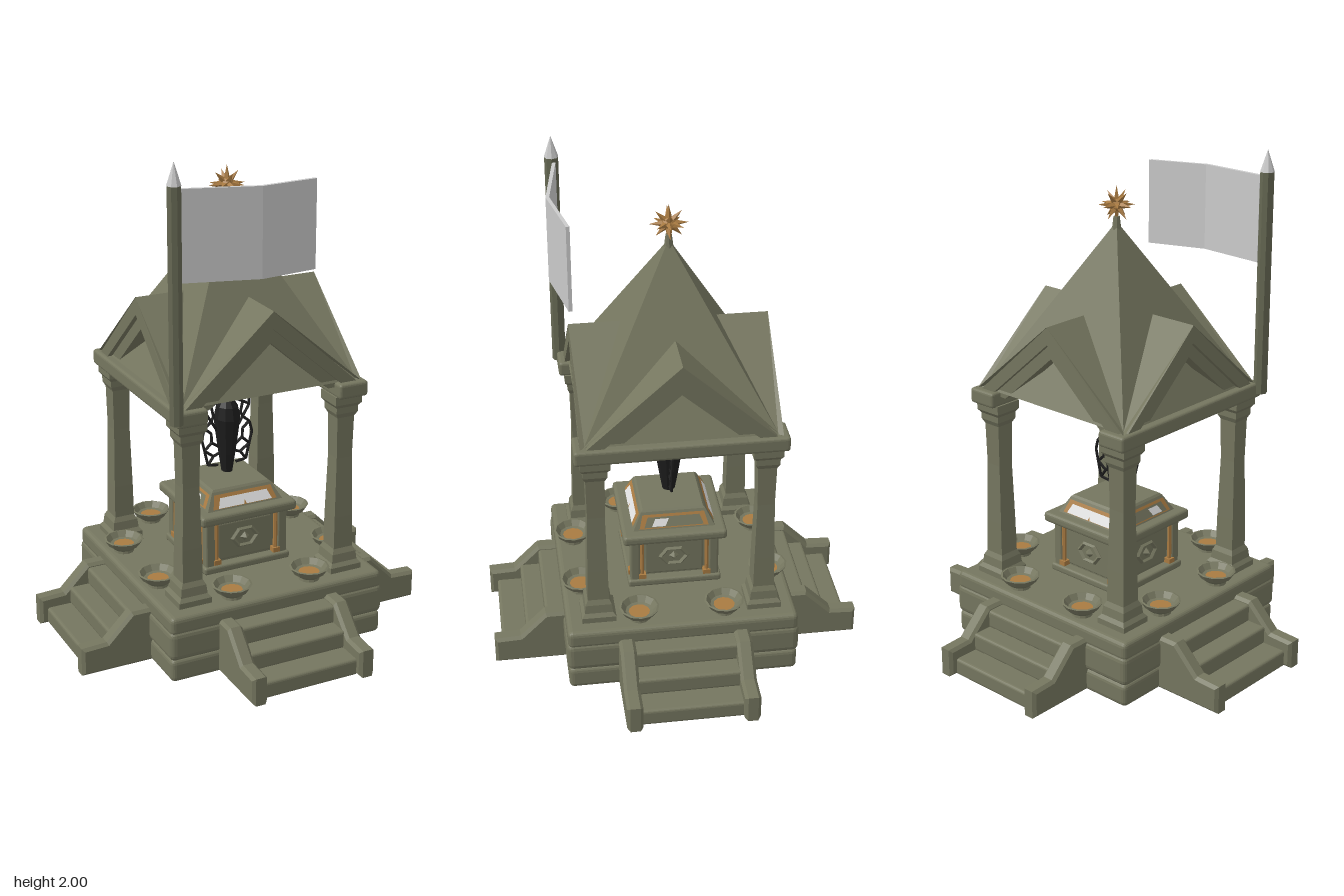
import * as THREE from 'three';
import { RoundedBoxGeometry } from 'three/addons/geometries/RoundedBoxGeometry.js';

const mat = (name, color) => new THREE.MeshStandardMaterial({ name, color, flatShading: true, side: THREE.DoubleSide });

export function createModel() {
  const stone = mat('stone', 0x75765f);
  const poleMat = mat('pole green', 0x666853);
  const gold = mat('gold', 0xa97b42);
  const white = mat('white', 0xe0e0e0);
  const cloth = mat('cloth', 0xcacaca);
  const black = mat('black', 0x1d1d1d);

  const root = new THREE.Group();
  root.name = 'shrine';

  const add = (parent, name, geo, material, x = 0, y = 0, z = 0) => {
    const m = new THREE.Mesh(geo, material);
    m.name = name;
    m.position.set(x, y, z);
    parent.add(m);
    return m;
  };
  const v2 = (pts) => pts.map(([x, y]) => new THREE.Vector2(x, y));
  // block with softened edges, spanning y0 to y1
  const slab = (parent, name, w, y0, y1, d, x = 0, z = 0, r = 0.015, material = stone) =>
    add(parent, name, new RoundedBoxGeometry(w, y1 - y0, d, 2, r), material, x, (y0 + y1) / 2, z);
  // square-plan profile, points are [half width, y]
  const squareLathe = (pts) =>
    new THREE.LatheGeometry(v2(pts.map(([r, y]) => [r * Math.SQRT2, y])), 4).rotateY(Math.PI / 4);
  // fan of flat faces over a list of corners
  const faces = (pts) => {
    const out = [];
    for (let i = 1; i < pts.length - 1; i++) out.push(...pts[0], ...pts[i], ...pts[i + 1]);
    const g = new THREE.BufferGeometry();
    g.setAttribute('position', new THREE.Float32BufferAttribute(out, 3));
    g.computeVertexNormals();
    return g;
  };
  const extrude = (pts, depth, bevel = 0) =>
    new THREE.ExtrudeGeometry(new THREE.Shape(v2(pts)), {
      depth, bevelEnabled: bevel > 0, bevelSize: bevel, bevelThickness: bevel, bevelOffset: -bevel, bevelSegments: 1,
    });

  // stacked platform
  slab(root, 'platformLower', 0.92, 0, 0.095, 0.92, 0, 0, 0.02);
  slab(root, 'platformMiddle', 0.93, 0.09, 0.215, 0.93, 0, 0, 0.025);
  slab(root, 'platformTop', 0.92, 0.195, 0.272, 0.92, 0, 0, 0.02);

  // pillars with flared base and capital
  const pillar = squareLathe([[0, 0.265], [0.068, 0.265], [0.068, 0.295], [0.056, 0.31], [0.052, 0.345], [0.042, 0.365],
    [0.04, 0.5], [0.034, 0.75], [0.037, 0.92], [0.047, 0.94], [0.047, 0.965], [0.058, 0.98], [0.058, 1.015], [0, 1.015]]);
  for (const x of [-0.33, 0.33]) {
    for (const z of [-0.33, 0.33]) add(root, 'pillar', pillar, stone, x, 0, z);
    slab(root, 'roofBeam', 0.125, 1.01, 1.072, 0.82, x * 1.03, 0, 0.012);
  }

  // chevron frame between two apex heights
  const chevron = (top, inner, depth) => {
    const foot = 1.05, s = 0.88;
    const a = Math.min((top - foot) / s, 0.385), b = (inner - foot) / s;
    return extrude([[0, top], [-a, foot], [-b, foot], [0, inner], [b, foot], [a, foot]], depth);
  };
  const bowl = new THREE.LatheGeometry(v2([[0, 0.27], [0.042, 0.27], [0.04, 0.282], [0.064, 0.3], [0.08, 0.325],
    [0.072, 0.327], [0.055, 0.305], [0, 0.292]]), 12);
  const wallProfile = [[0.43, 0], [0.745, 0], [0.745, 0.115], [0.64, 0.12], [0.535, 0.225], [0.43, 0.225]];
  // point on the sloped altar lid, t runs up the slope
  const slope = (x, t, lift) => [x, 0.53 + 0.065 * t + lift * 0.47, 0.165 - 0.035 * t + lift * 0.88];
  const lidPanel = (x0, x1, t0, t1, lift) =>
    faces([slope(x0, t0, lift), slope(x1, t0, lift), slope(x1 - 0.015 * Math.sign(x1), t1, lift), slope(x0 - 0.015 * Math.sign(x0), t1, lift)]);

  // everything repeated on the four sides, each facing local +z
  for (let i = 0; i < 4; i++) {
    const side = new THREE.Group();
    side.name = ['frontSide', 'leftSide', 'backSide', 'rightSide'][i];
    side.rotation.y = (i * Math.PI) / 2;
    root.add(side);

    // stairs and their cheek walls
    [[0.535, 0.21], [0.615, 0.14], [0.715, 0.07]].forEach(([z, y]) =>
      slab(side, 'step', 0.42, Math.max(0, y - 0.075), y, z - 0.42, 0, (z + 0.42) / 2, 0.012));
    for (const x of [0.25, -0.21]) {
      const wall = add(side, 'stairWall', extrude(wallProfile, 0.04, 0.012), stone, x, 0, 0);
      wall.rotation.y = -Math.PI / 2;
    }

    // gable roof, chevron frames and spire face
    for (const s of [-1, 1]) {
      add(side, 'gableRoof', faces([[0, 1.4, 0.385], [s * 0.385, 1.068, 0.385], [s * 0.375, 1.068, 0.365], [0, 1.4, 0.175]]), stone);
    }
    add(side, 'gableFrame', chevron(1.398, 1.33, 0.055), stone, 0, 0, 0.33);
    add(side, 'gableInnerFrame', chevron(1.335, 1.27, 0.06), stone, 0, 0, 0.305);
    add(side, 'gableTrim', chevron(1.315, 1.29, 0.005), gold, 0, 0, 0.299);
    add(side, 'spire', faces([[0, 1.73, 0], [-0.37, 1.07, 0.37], [0.37, 1.07, 0.37]]), stone);

    // offering bowls
    for (const x of [-0.17, 0.17]) {
      add(side, 'bowl', bowl, stone, x, 0, 0.385);
      add(side, 'bowlFilling', new THREE.CylinderGeometry(0.045, 0.04, 0.006, 10), gold, x, 0.299, 0.385);
    }

    // altar side: raised panel frame, hexagonal relief, corner post with gold rods
    slab(side, 'altarPanel', 0.24, 0.31, 0.47, 0.02, 0, 0.15, 0.008);
    add(side, 'altarRelief', new THREE.TorusGeometry(0.045, 0.009, 4, 6).scale(1.2, 0.9, 1), stone, 0, 0.395, 0.162);
    add(side, 'altarReliefCentre', new THREE.OctahedronGeometry(0.022), stone, 0, 0.395, 0.158);
    slab(side, 'altarPost', 0.04, 0.29, 0.49, 0.04, 0.16, 0.16, 0.008);
    for (const x of [-0.132, 0.132]) {
      add(side, 'altarRod', new THREE.CylinderGeometry(0.009, 0.009, 0.18, 6), gold, x, 0.4, 0.17);
      add(side, 'altarRodFoot', new THREE.BoxGeometry(0.03, 0.02, 0.03), gold, x, 0.315, 0.17);
    }

    // painted slopes of the altar lid
    add(side, 'lidTrim', lidPanel(-0.14, 0.14, 0.08, 0.85, 0.003), gold);
    if (i % 2 === 0) {
      for (const s of [-1, 1]) add(side, 'lidInlay', lidPanel(s * 0.006, s * 0.118, 0.1, 0.65, 0.006), white);
    } else {
      add(side, 'lidField', lidPanel(-0.12, 0.12, 0.14, 0.7, 0.005), stone);
      add(side, 'lidInlay', lidPanel(i === 1 ? -0.09 : 0.035, i === 1 ? -0.035 : 0.09, 0.18, 0.6, 0.008), white);
    }
  }

  // altar core
  slab(root, 'altarFoot', 0.38, 0.27, 0.302, 0.38, 0, 0, 0.01);
  slab(root, 'altarBody', 0.3, 0.29, 0.5, 0.3, 0, 0, 0.01);
  slab(root, 'altarTable', 0.42, 0.488, 0.53, 0.42, 0, 0, 0.014);
  add(root, 'altarLid', squareLathe([[0.165, 0.53], [0.13, 0.595], [0.122, 0.603], [0, 0.603]]), stone);

  // hanging cocoon
  const cocoon = new THREE.Group();
  cocoon.name = 'cocoon';
  root.add(cocoon);
  add(cocoon, 'cocoonBody', new THREE.LatheGeometry(v2([[0, 0.615], [0.026, 0.62], [0.04, 0.7], [0.054, 0.79],
    [0.062, 0.85], [0.05, 0.9], [0.028, 0.93], [0, 0.935]]), 10).scale(0.85, 1, 1), black);
  add(cocoon, 'cord', new THREE.CylinderGeometry(0.005, 0.005, 0.13, 6), black, 0, 0.985, 0);
  // branching lattice around the cocoon
  const branches = [
    [[0, 1.05], [0.035, 1.02], [0.06, 0.975], [0.095, 0.945], [0.1, 0.89], [0.07, 0.84], [0.1, 0.815], [0.112, 0.77],
      [0.1, 0.72], [0.085, 0.655], [0.04, 0.65]],
    [[0, 0.99], [0.03, 0.965], [0.06, 0.975]],
    [[0.03, 0.965], [0.035, 0.925], [0.07, 0.905], [0.1, 0.89]],
    [[0.07, 0.905], [0.06, 0.86], [0.07, 0.84], [0.045, 0.8]],
    [[0.1, 0.815], [0.07, 0.79], [0.068, 0.75], [0.1, 0.72]],
    [[0.068, 0.75], [0.04, 0.73]],
    [[0.1, 0.72], [0.06, 0.69], [0.035, 0.7]],
    [[0.06, 0.69], [0.085, 0.655]],
  ];
  for (const s of [-1, 1]) {
    for (const b of branches) {
      const path = new THREE.CurvePath();
      for (let i = 1; i < b.length; i++) {
        path.add(new THREE.LineCurve3(new THREE.Vector3(s * b[i - 1][0], b[i - 1][1], 0), new THREE.Vector3(s * b[i][0], b[i][1], 0)));
      }
      add(cocoon, 'branch', new THREE.TubeGeometry(path, b.length * 4, 0.006, 5), black);
    }
  }

  // spiked star on the spire
  add(root, 'finial', new THREE.CylinderGeometry(0.012, 0.018, 0.05, 8), stone, 0, 1.725, 0);
  const star = new THREE.Group();
  star.name = 'star';
  star.position.y = 1.795;
  root.add(star);
  add(star, 'starCore', new THREE.IcosahedronGeometry(0.03, 0), gold);
  for (let x = -1; x <= 1; x++) for (let y = -1; y <= 1; y++) for (let z = -1; z <= 1; z++) {
    const n = Math.abs(x) + Math.abs(y) + Math.abs(z);
    if (n === 0 || n === 3) continue;
    const len = n === 1 ? 0.075 : 0.07;
    const spike = add(star, 'starSpike', new THREE.ConeGeometry(0.018, len, 4).translate(0, len / 2, 0), gold);
    spike.quaternion.setFromUnitVectors(new THREE.Vector3(0, 1, 0), new THREE.Vector3(x, y, z).normalize());
  }

  // flag pole, tip and folded cloth
  add(root, 'flagPole', new THREE.CylinderGeometry(0.027, 0.027, 0.885, 8), poleMat, -0.403, 1.4725, 0.4);
  add(root, 'poleTip', new THREE.ConeGeometry(0.028, 0.085, 8), cloth, -0.403, 1.9575, 0.4);
  const outline = [[-0.38, 0.385], [-0.08, 0.432], [0.168, 0.378], [0.168, 0.392], [-0.08, 0.446], [-0.38, 0.399]];
  const flag = extrude(outline.map(([x, z]) => [x, -z]).reverse(), 0.34).rotateX(-Math.PI / 2);
  const p = flag.attributes.position;
  for (let i = 0; i < p.count; i++) p.setY(i, p.getY(i) + 1.56 - 0.035 * (p.getX(i) + 0.38));
  add(root, 'flag', flag, cloth);

  return root;
}
